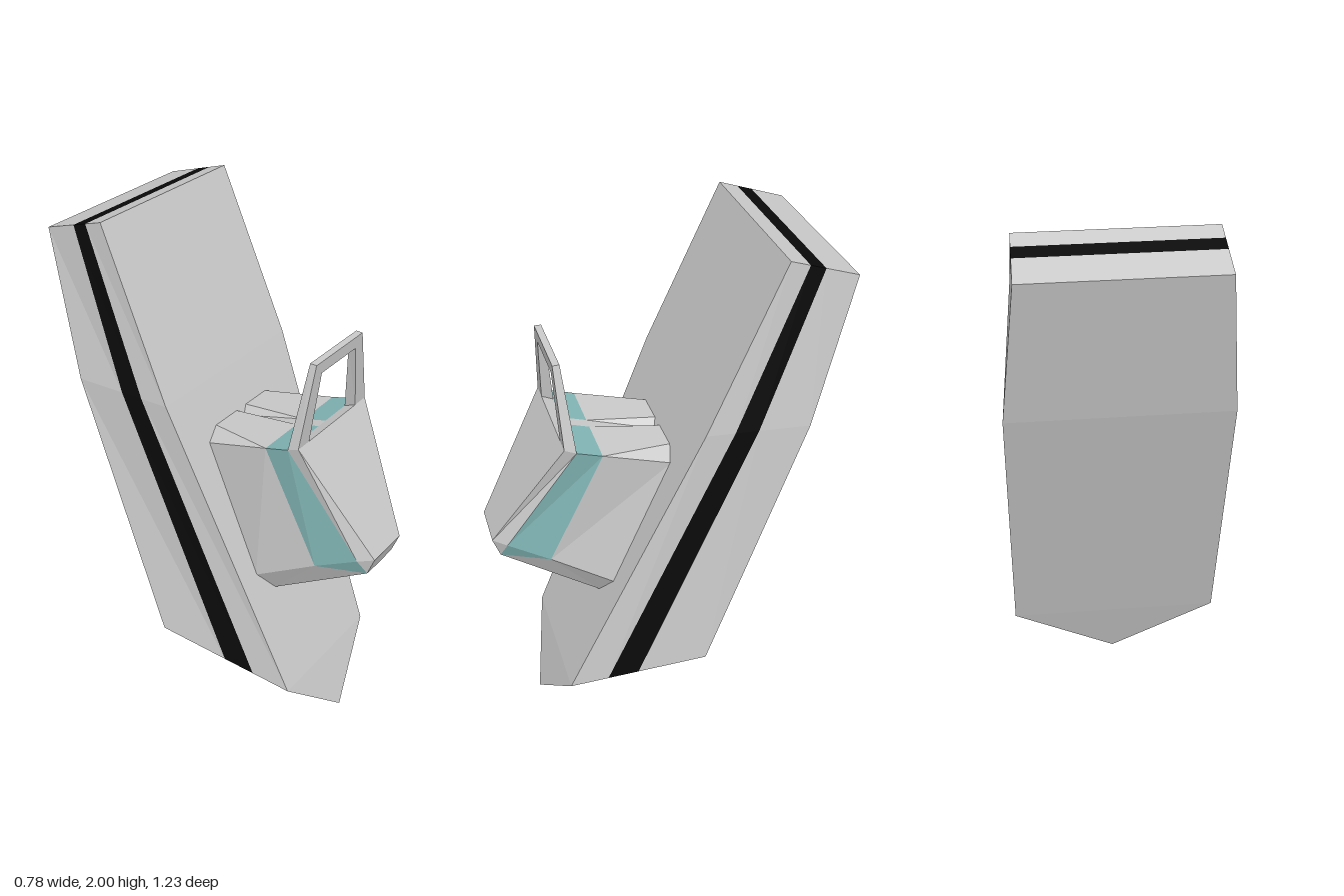
import * as THREE from 'three';

const GREY = 0xcccccc, TEAL = 0x84b8b8, BLACK = 0x0a0a0a;

// The whole piece leans very slightly sideways
const lean = ([x, y, z]) => new THREE.Vector3(x - 0.008 + 0.011 * y, y - 0.015 * x, z);
const flip = ([x, y, z]) => [-x, y, z];
const mirrored = (polys) => [...polys, ...polys.map((p) => p.map(flip))];

// Flat-shaded mesh from convex polygons, each turned away from an inner point
function facets(name, polys, inside, color = GREY) {
  const pos = [], c = lean(inside);
  for (const poly of polys) {
    const v = poly.map(lean);
    const n = new THREE.Vector3(), mid = new THREE.Vector3();
    for (let i = 0; i < v.length; i++) {
      n.add(v[i].clone().cross(v[(i + 1) % v.length]));
      mid.addScaledVector(v[i], 1 / v.length);
    }
    if (n.dot(mid.sub(c)) < 0) v.reverse();
    for (let i = 1; i < v.length - 1; i++) {
      for (const p of [v[0], v[i], v[i + 1]]) pos.push(p.x, p.y, p.z);
    }
  }
  const geo = new THREE.BufferGeometry();
  geo.setAttribute('position', new THREE.Float32BufferAttribute(pos, 3));
  geo.computeVertexNormals();
  const mat = new THREE.MeshStandardMaterial({ color, flatShading: true, side: THREE.DoubleSide });
  const mesh = new THREE.Mesh(geo, mat);
  mesh.name = name;
  return mesh;
}

// Pointed slab: front and back outlines joined by grey, black and grey bands
function createBoard() {
  const group = new THREE.Group();
  group.name = 'board';
  const inside = [0, 1, -0.05];
  const front = [[0.33, 2, -0.37], [0.347, 1.4, -0.106], [0.265, 0.245, 0.385], [0, 0.003, 0.466]];
  const back = [[0.33, 1.92, -0.615], [0.385, 1.4, -0.47], [0.388, 0.382, -0.127], [0, 0.143, -0.04]];
  const outline = (t) => {
    const half = front.map((p, i) => p.map((v, k) => v + (back[i][k] - v) * t));
    return [...half, ...half.slice(0, 3).reverse().map(flip)];
  };
  const band = (t0, t1) => {
    const a = outline(t0), b = outline(t1);
    return a.map((p, i) => {
      const j = (i + 1) % a.length;
      return [p, a[j], b[j], b[i]];
    });
  };
  const cap = (r) => [[r[0], r[1], r[5], r[6]], [r[1], r[2], r[4], r[5]], [r[2], r[3], r[4]]];
  group.add(facets('frontFace', cap(outline(0)), inside));
  group.add(facets('backFace', cap(outline(1)), inside));
  group.add(facets('frontRim', band(0, 0.28), inside));
  group.add(facets('stripe', band(0.28, 0.505), inside, BLACK));
  group.add(facets('backRim', band(0.505, 1), inside));
  return group;
}

// Faceted grip body: front plate, teal collar, grey sides and a grooved top
function createGripBody() {
  const group = new THREE.Group();
  group.name = 'gripBody';
  const inside = [0, 1, 0.2];
  // front plate corners, outer and set back
  const plateTop = [0.21, 1.34, 0.355], plateLow = [0.087, 0.905, 0.614];
  const rimTop = [0.21, 1.32, 0.312], rimLow = [0.125, 0.9, 0.565];
  const chin = [0.085, 0.83, 0.588], chinMid = [0, 0.826, 0.588];
  // back edge of the teal collar
  const collarTop = [0.21, 1.29, 0.22], collarLow = [0.165, 0.83, 0.415];
  const grooveRim = [0.022, 1.32, 0.312], grooveStart = [0.022, 1.29, 0.22];
  // line where the body meets the board
  const baseTop = [0.21, 1.21, -0.03], hump = [0.15, 1.25, -0.042], humpIn = [0.028, 1.25, -0.042];
  const grooveEnd = [0, 1.22, -0.032];
  const baseSide = [0.21, 0.7, 0.187], baseLow = [0.14, 0.61, 0.225], baseMid = [0.03, 0.565, 0.243];

  group.add(facets('frontPlate', [
    [plateTop, plateLow, flip(plateLow), flip(plateTop)],
    [plateTop, rimTop, flip(rimTop), flip(plateTop)],
    [plateLow, chinMid, flip(plateLow)],
    ...mirrored([
      [plateTop, rimTop, rimLow, plateLow],
      [plateLow, rimLow, chin],
      [plateLow, chin, chinMid],
    ]),
  ], inside));
  group.add(facets('collar', mirrored([
    [rimTop, collarTop, collarLow, rimLow],
    [rimLow, collarLow, chin],
    [rimTop, collarTop, grooveStart, grooveRim],
    [chin, baseLow, baseMid, chinMid],
  ]), inside, TEAL));
  group.add(facets('sides', mirrored([
    [collarTop, baseTop, baseSide, collarLow],
    [collarLow, baseSide, baseLow],
    [collarLow, baseLow, chin],
  ]), inside));
  group.add(facets('top', [
    ...mirrored([
      [collarTop, baseTop, hump],
      [collarTop, hump, humpIn, grooveStart],
      [grooveStart, humpIn, grooveEnd],
    ]),
    [grooveStart, grooveEnd, flip(grooveStart)],
    [grooveRim, grooveStart, flip(grooveStart), flip(grooveRim)],
  ], inside));
  group.add(facets('bottomSeam', [[chinMid, baseMid, flip(baseMid)]], inside));
  return group;
}

// Six-sided block between a front quad and a back quad
function block(name, f, b) {
  const inside = [0, 1, 2].map((k) => [...f, ...b].reduce((s, p) => s + p[k] / 8, 0));
  const walls = f.map((p, i) => [p, f[(i + 1) % 4], b[(i + 1) % 4], b[i]]);
  return facets(name, [f, b, ...walls], inside);
}

// Tapered frame handle standing on the front plate
function createHandle() {
  const group = new THREE.Group();
  group.name = 'handle';
  const at = (z0, y0, z1) => (x, y) => [x, y0 + (y - 1.34) * (1.637 - y0) / 0.297, z0 + (z1 - z0) * (y - 1.34) / 0.297];
  const f = at(0.355, 1.34, 0.367), b = at(0.312, 1.32, 0.342);
  const post = [[0.21, 1.34], [0.14, 1.637], [0.103, 1.592], [0.146, 1.34]];
  const bar = [[0.14, 1.637], [0.103, 1.592], [-0.103, 1.592], [-0.14, 1.637]];
  const make = (name, pts) => group.add(block(name, pts.map((p) => f(...p)), pts.map((p) => b(...p))));
  make('leftPost', post);
  make('rightPost', post.map(([x, y]) => [-x, y]));
  make('topBar', bar);
  return group;
}

export function createModel() {
  const model = new THREE.Group();
  model.name = 'boardWithGrip';
  model.add(createBoard(), createGripBody(), createHandle());
  return model;
}
